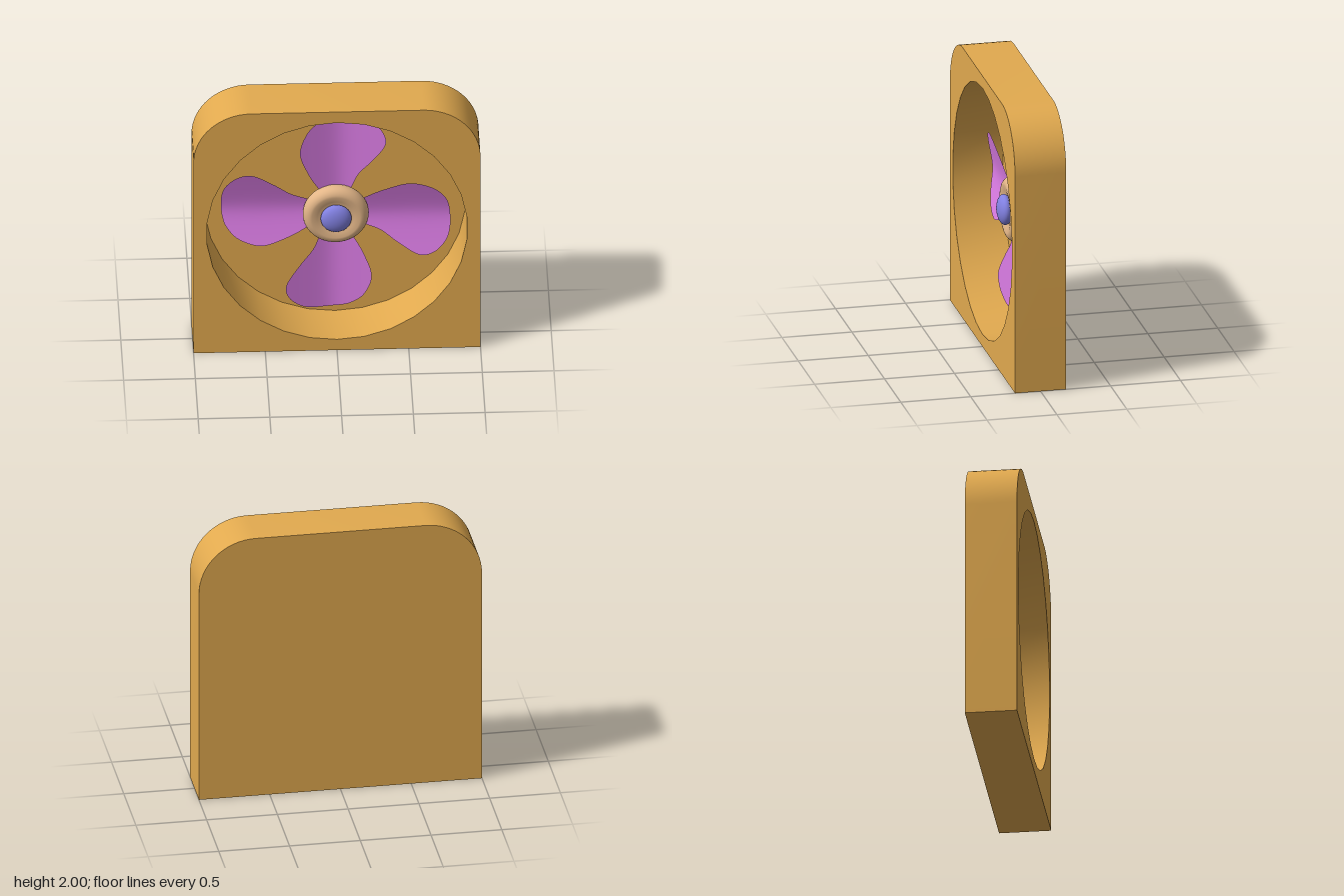
import * as THREE from 'three';
import { toCreasedNormals } from 'three/addons/utils/BufferGeometryUtils.js';

const CY = 1;          // fan axis height
const HALF = 0.183;    // half depth of the casing
const PANEL = 0.006;   // thin closed back

const material = (color, side = THREE.FrontSide) =>
  new THREE.MeshStandardMaterial({ color, side });

function addMesh(parent, name, geometry, mat) {
  const mesh = new THREE.Mesh(geometry, mat);
  mesh.name = name;
  parent.add(mesh);
  return mesh;
}

// Square casing outline with two rounded top corners
function casingShape() {
  const r = 0.4;
  const s = new THREE.Shape();
  s.moveTo(-1, 0);
  s.lineTo(1, 0);
  s.lineTo(1, 2 - r);
  s.absarc(1 - r, 2 - r, r, 0, Math.PI / 2);
  s.lineTo(-1 + r, 2);
  s.absarc(-1 + r, 2 - r, r, Math.PI / 2, Math.PI);
  s.closePath();
  return s;
}

function extrude(shape, depth, z) {
  const g = new THREE.ExtrudeGeometry(shape, { depth, bevelEnabled: false, curveSegments: 8 });
  return toCreasedNormals(g.translate(0, 0, z), Math.PI / 6);
}

// One dished blade pointing up, spanned between its left and right edge curves
function bladeGeometry() {
  const curve = (pts) => new THREE.SplineCurve(pts.map(([x, y]) => new THREE.Vector2(x, y)));
  const left = curve([[0.06, 0.8], [-0.03, 0.79], [-0.11, 0.76], [-0.2, 0.675], [-0.25, 0.515],
    [-0.19, 0.33], [-0.12, 0.2], [-0.06, 0.1]]);
  const right = curve([[0.06, 0.8], [0.15, 0.797], [0.24, 0.77], [0.325, 0.69], [0.345, 0.58],
    [0.25, 0.43], [0.16, 0.315], [0.11, 0.2], [0.06, 0.1]]);
  const rows = 40, cols = 16;
  const g = new THREE.PlaneGeometry(1, 1, cols, rows);
  const pos = g.attributes.position;
  for (let j = 0; j <= rows; j++) {
    const a = left.getPointAt(j / rows), b = right.getPointAt(j / rows);
    for (let i = 0; i <= cols; i++) {
      const p = a.clone().lerp(b, i / cols);
      const z = -0.075 + 0.26 * (Math.hypot(p.x - 0.03, 0.08) - 0.08);
      pos.setXYZ(j * (cols + 1) + i, p.x, p.y, z);
    }
  }
  g.computeVertexNormals();
  return g;
}

// Rounded hub ring: slightly dished face with a half-round rim
function hubGeometry() {
  const pts = [new THREE.Vector2(0, -0.06)];
  for (let i = 0; i <= 12; i++) {
    const a = -Math.PI / 2 + (Math.PI * i) / 12;
    pts.push(new THREE.Vector2(0.168 + 0.062 * Math.cos(a), 0.062 * Math.sin(a)));
  }
  pts.push(new THREE.Vector2(0.13, 0.055), new THREE.Vector2(0.1, 0.042), new THREE.Vector2(0, 0.035));
  return new THREE.LatheGeometry(pts, 48).rotateX(Math.PI / 2);
}

export function createModel() {
  const model = new THREE.Group();
  model.name = 'boxFan';

  // Casing: frame with a 30-sided round opening, closed by a thin back
  const casing = material(0xe2aa4f);
  const frame = casingShape();
  const opening = [];
  for (let i = 0; i < 30; i++) {
    const a = Math.PI / 2 - (i * Math.PI * 2) / 30;
    opening.push(new THREE.Vector2(0.91 * Math.cos(a), CY + 0.91 * Math.sin(a)));
  }
  frame.holes.push(new THREE.Path(opening));
  addMesh(model, 'frame', extrude(frame, 2 * HALF - PANEL, -HALF + PANEL), casing);
  addMesh(model, 'backPanel', extrude(casingShape(), PANEL, -HALF), casing);

  // Rotor: four blades, hub, cap and the shaft to the back panel
  const rotor = new THREE.Group();
  rotor.name = 'rotor';
  rotor.position.y = CY;
  model.add(rotor);

  const bladeGeo = bladeGeometry();
  const bladeMat = material(0xdc7de6, THREE.DoubleSide);
  for (let i = 0; i < 4; i++) {
    addMesh(rotor, `blade${i + 1}`, bladeGeo, bladeMat).rotation.z = (i * Math.PI) / 2;
  }

  const hubMat = material(0xe3b688);
  addMesh(rotor, 'hub', hubGeometry(), hubMat).position.z = -0.04;

  const cap = addMesh(rotor, 'hubCap', new THREE.SphereGeometry(0.108, 32, 20), material(0x8281e2));
  cap.scale.z = 0.5;
  cap.position.z = 0.025;

  const shaft = addMesh(rotor, 'shaft',
    new THREE.CylinderGeometry(0.06, 0.06, 0.1, 24).rotateX(Math.PI / 2), hubMat);
  shaft.position.z = -0.13;

  return model;
}
